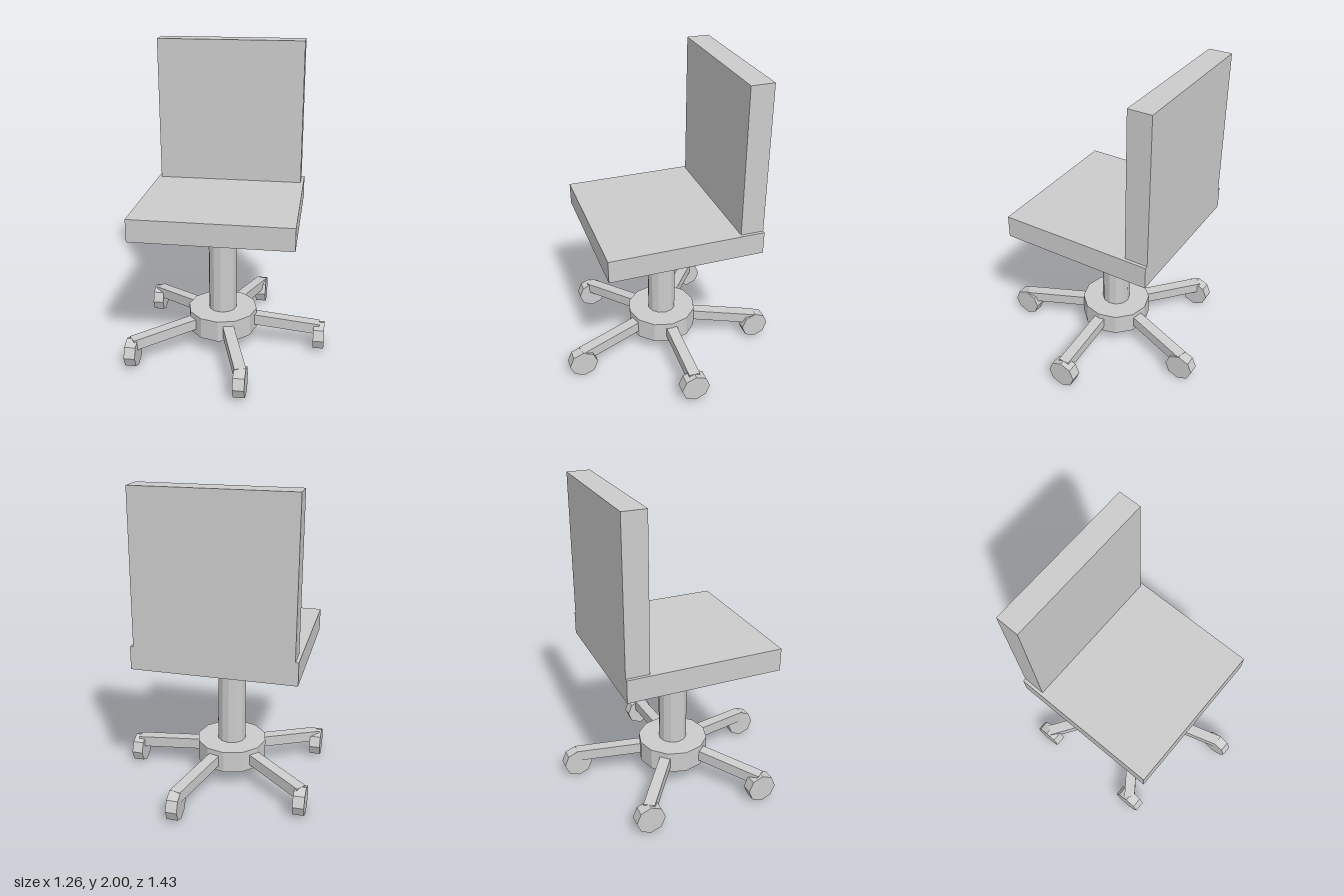
import * as THREE from 'three';

export function createModel() {
  const group = new THREE.Group();
  const grey = new THREE.MeshStandardMaterial({ color: 0xcccccc, flatShading: true });
  grey.name = 'light grey';

  const add = (name, geometry, x, y, z, parent = group) => {
    const mesh = new THREE.Mesh(geometry, grey);
    mesh.name = name;
    mesh.position.set(x, y, z);
    parent.add(mesh);
    return mesh;
  };

  const axis = -0.065; // x of the central column

  // Seat and backrest slabs
  add('seat', new THREE.BoxGeometry(1.006, 0.145, 0.986), axis, 0.983, -0.002);
  add('backrest', new THREE.BoxGeometry(0.966, 0.945, 0.147), axis, 1.5275, -0.4215);

  // Column pokes slightly out below the hub
  add('column', new THREE.CylinderGeometry(0.093, 0.093, 0.8, 12), axis, 0.512, 0);
  add('hub', new THREE.CylinderGeometry(0.231, 0.231, 0.143, 12), axis, 0.193, 0);

  // Five sloping arms, each ending in a caster; all casters roll front to back
  const reach = 0.655, inner = 0.15, drop = 0.047;
  const slope = Math.atan2(drop, reach - inner);
  const armGeometry = new THREE.BoxGeometry(Math.hypot(reach - inner, drop), 0.072, 0.072);
  const wheelGeometry = new THREE.CylinderGeometry(0.094, 0.094, 0.072, 8).rotateZ(Math.PI / 2);
  for (let i = 0; i < 5; i++) {
    const angle = (i * Math.PI * 2) / 5;
    const spoke = new THREE.Group();
    spoke.name = 'spoke' + (i + 1);
    spoke.position.x = axis;
    spoke.rotation.y = -angle;
    group.add(spoke);
    add('arm', armGeometry, (reach + inner) / 2, 0.176, 0, spoke).rotation.z = -slope;
    add('wheel', wheelGeometry, axis + reach * Math.cos(angle), 0.095, reach * Math.sin(angle));
  }
  return group;
}
